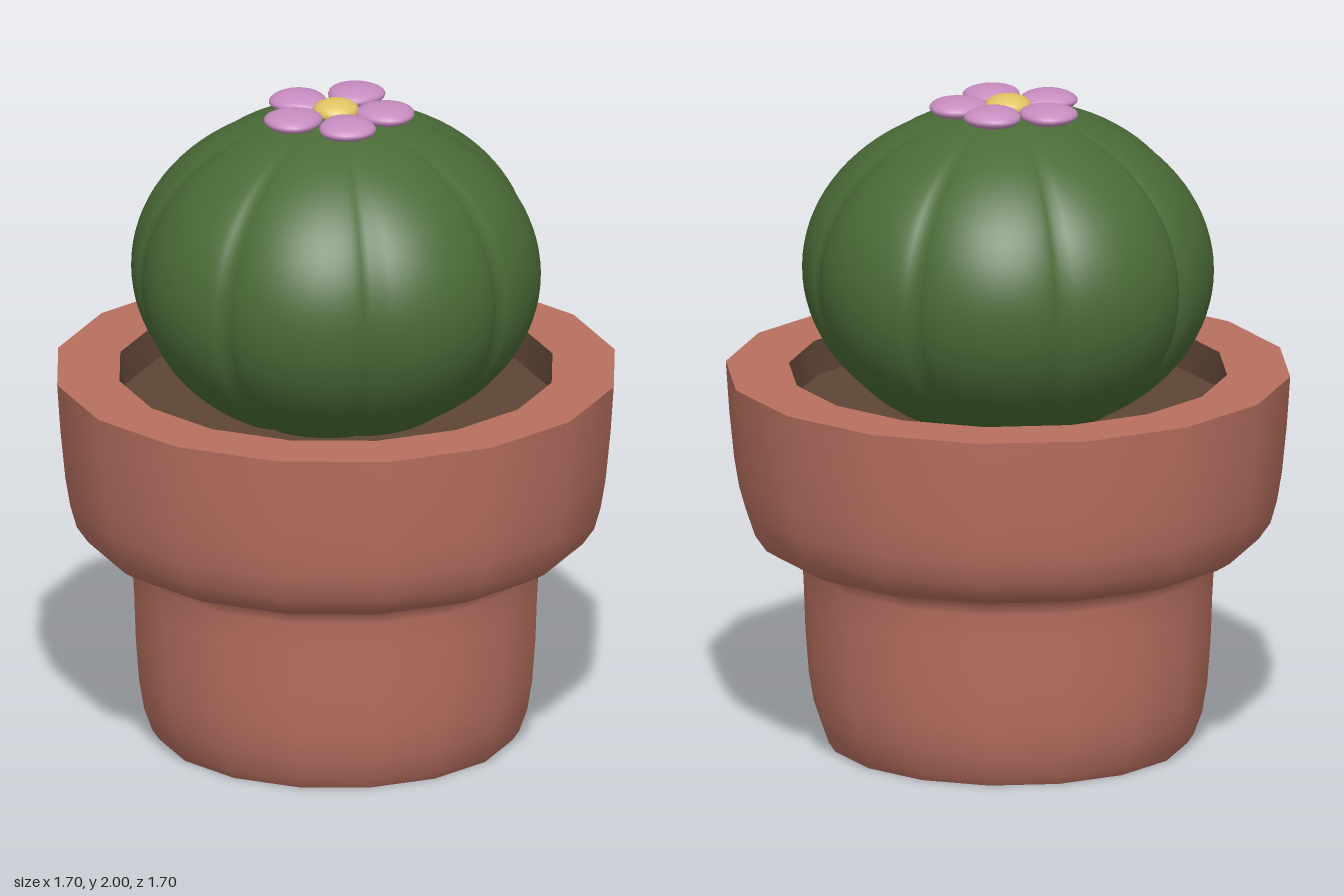
import * as THREE from 'three';

const material = (color, side = THREE.FrontSide) => new THREE.MeshStandardMaterial({ color, side });

function addMesh(parent, name, geometry, mat) {
  const mesh = new THREE.Mesh(geometry, mat);
  mesh.name = name;
  parent.add(mesh);
  return mesh;
}

// 16-sided turned surface from [radius, height] pairs
const turned = (points) => new THREE.LatheGeometry(points.map(([r, y]) => new THREE.Vector2(r, y)), 16);

// Squashed sphere whose girth swells into eight ribs with narrow grooves between
function ribbedBody() {
  const geometry = new THREE.SphereGeometry(1, 128, 48);
  const p = geometry.attributes.position;
  for (let i = 0; i < p.count; i++) {
    const x = p.getX(i), z = p.getZ(i);
    const r = 0.582 + 0.036 * Math.sqrt(Math.abs(Math.sin(4 * Math.atan2(z, x))));
    p.setXYZ(i, x * r, p.getY(i) * 0.5, z * r);
  }
  geometry.computeVertexNormals();
  return geometry;
}

export function createModel() {
  const model = new THREE.Group();
  model.name = 'pottedCactus';
  const clay = material(0xb87060);
  const earth = material(0x5e4435);
  const green = material(0x4a6b37);
  const pink = material(0xc78cc0);
  const yellow = material(0xe2c463);

  // Pot: separate surfaces keep the rim and foot edges crisp
  const pot = new THREE.Group();
  pot.name = 'pot';
  model.add(pot);
  addMesh(pot, 'potWall', turned([
    [0.54, 0], [0.56, 0.03], [0.585, 0.1], [0.6, 0.19], [0.61, 0.32], [0.615, 0.46],
    [0.62, 0.55], [0.63, 0.59], [0.66, 0.603], [0.71, 0.612], [0.755, 0.64],
    [0.79, 0.69], [0.81, 0.76], [0.825, 0.85], [0.84, 1], [0.85, 1.147],
  ]), clay);
  addMesh(pot, 'potBase', turned([[0, 0], [0.54, 0]]), clay);
  addMesh(pot, 'potRim', turned([[0.85, 1.147], [0.66, 1.147]]), clay);
  addMesh(pot, 'potInnerWall', turned([[0.66, 1.147], [0.645, 1.045]]), earth);
  addMesh(pot, 'soil', turned([[0.645, 1.045], [0, 1.045]]), earth);

  // Cactus
  addMesh(model, 'cactusBody', ribbedBody(), green).position.y = 1.46;

  // Flower: five rounded petals around a domed centre
  const flower = new THREE.Group();
  flower.name = 'flower';
  flower.position.y = 1.96;
  model.add(flower);
  const petalShape = new THREE.SphereGeometry(1, 24, 16);
  const q = petalShape.attributes.position;
  for (let i = 0; i < q.count; i++) {
    // wider towards the tip
    const x = q.getX(i);
    q.setXYZ(i, x * 0.09, q.getY(i) * 0.03, q.getZ(i) * 0.085 * (1 + 0.15 * x));
  }
  petalShape.computeVertexNormals();
  for (let i = 0; i < 5; i++) {
    const pivot = new THREE.Group();
    pivot.name = 'petalPivot';
    pivot.rotation.y = THREE.MathUtils.degToRad(101 + i * 72);
    flower.add(pivot);
    const petal = addMesh(pivot, 'petal', petalShape, pink);
    petal.position.set(0.146, i === 0 ? 0.008 : 0, 0);
  }
  const centre = addMesh(flower, 'flowerCentre', new THREE.SphereGeometry(0.07, 24, 16), yellow);
  centre.scale.y = 0.5;
  centre.position.y = 0.005;

  return model;
}
